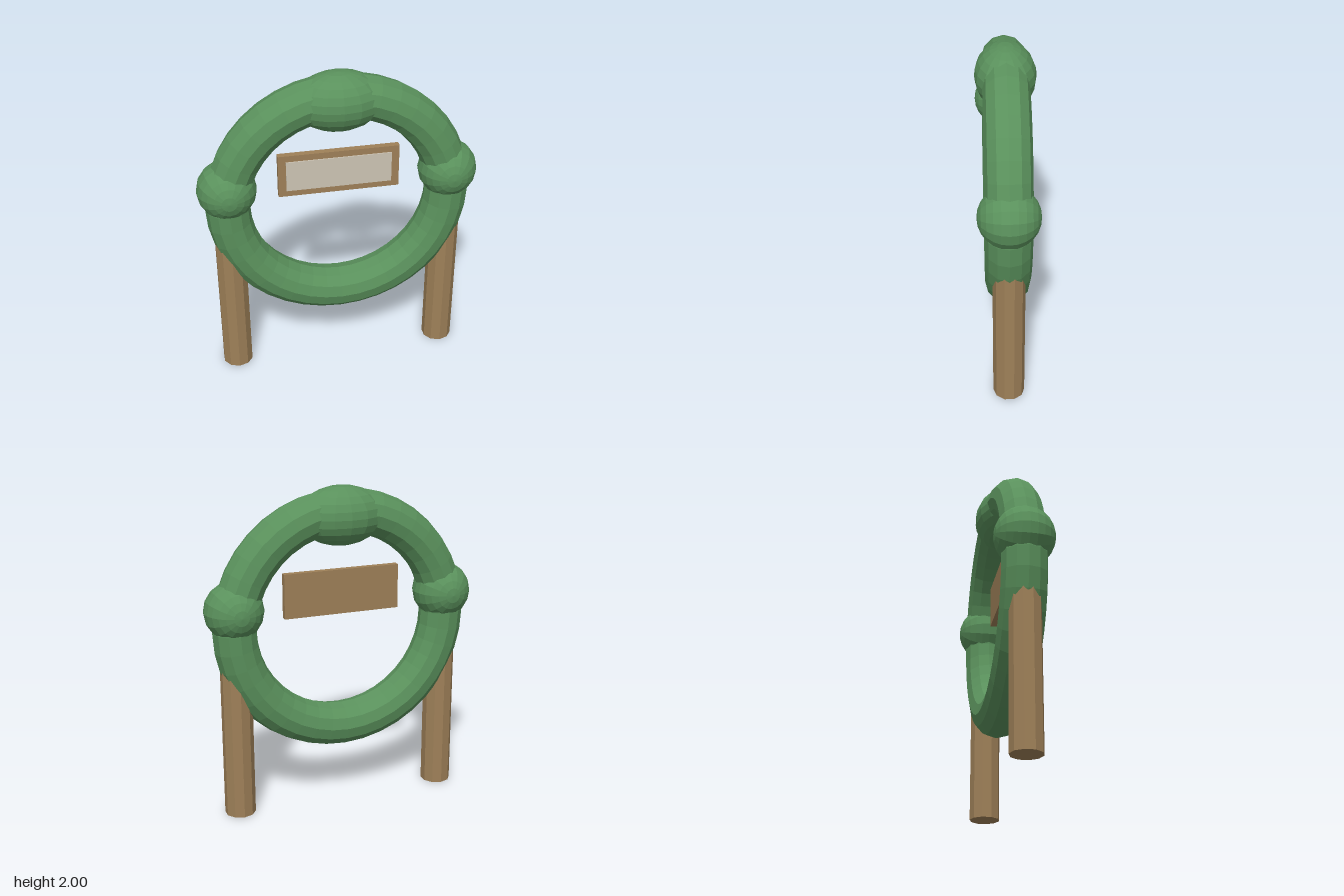
import * as THREE from 'three';

const mat = (name, color) => {
  const m = new THREE.MeshStandardMaterial({ color, flatShading: true });
  m.name = name;
  return m;
};

export function createModel() {
  const group = new THREE.Group();
  const leaf = mat('leafGreen', 0x5a915c);
  const wood = mat('wood', 0x9e8058);
  const pale = mat('paleBoard', 0xcdc4b4);

  const add = (name, geometry, material, x, y, z) => {
    const mesh = new THREE.Mesh(geometry, material);
    mesh.name = name;
    mesh.position.set(x, y, z);
    group.add(mesh);
    return mesh;
  };

  const R = 0.675;

  // Wreath ring
  add('ring', new THREE.TorusGeometry(R, 0.135, 12, 40), leaf, 0, 1.175, 0);

  // Wide bush at the top of the ring
  add('topBush', new THREE.SphereGeometry(0.18, 16, 12).scale(1.5, 1, 1), leaf, 0, 1.82, 0);

  // Side bushes and posts; the post tops end inside the ring
  for (const [side, s] of [['left', 1], ['right', -1]]) {
    add(side + 'Bush', new THREE.SphereGeometry(0.18, 16, 12).rotateX(Math.PI / 2), leaf, s * R, 1.3, 0);
    add(side + 'Post', new THREE.CylinderGeometry(0.095, 0.095, 1.1, 10), wood, s * R, 0.55, 0);
  }

  // Hanging board with a pale front panel
  add('board', new THREE.BoxGeometry(0.735, 0.275, 0.04), wood, 0, 1.357, 0);
  add('boardPanel', new THREE.BoxGeometry(0.64, 0.195, 0.008), pale, 0, 1.357, 0.023);

  return group;
}
